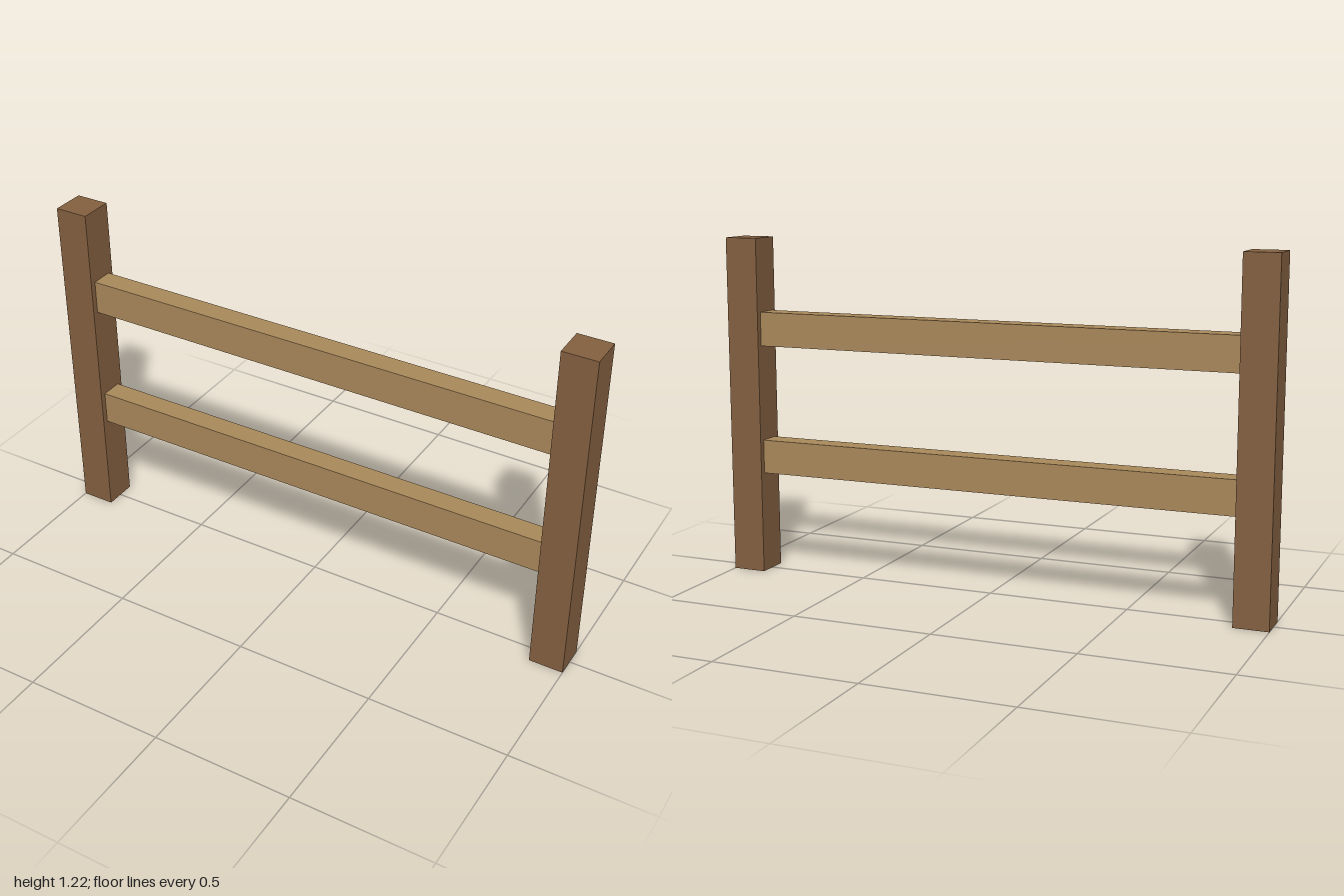
import * as THREE from 'three';

const POST = 0.122, HEIGHT = 1.22;
const RAIL_HEIGHT = 0.122, RAIL_DEPTH = 0.08;

export function createModel() {
  const fence = new THREE.Group();
  fence.name = 'fence';

  const darkWood = new THREE.MeshStandardMaterial({ color: 0x856141 });
  darkWood.name = 'dark wood';
  const lightWood = new THREE.MeshStandardMaterial({ color: 0xab8a5c });
  lightWood.name = 'light wood';

  const addBox = (name, size, x, y, material) => {
    const mesh = new THREE.Mesh(new THREE.BoxGeometry(...size), material);
    mesh.name = name;
    mesh.position.set(x, y, 0);
    fence.add(mesh);
  };

  // Square posts at both ends
  for (const [name, side] of [['leftPost', 1], ['rightPost', -1]]) {
    addBox(name, [POST, HEIGHT, POST], side * (1 - POST / 2), HEIGHT / 2, darkWood);
  }

  // Two rails spanning between the inner post faces
  for (const [name, y] of [['lowerRail', 0.427], ['upperRail', 0.894]]) {
    addBox(name, [2 - 2 * POST, RAIL_HEIGHT, RAIL_DEPTH], 0, y, lightWood);
  }

  return fence;
}
